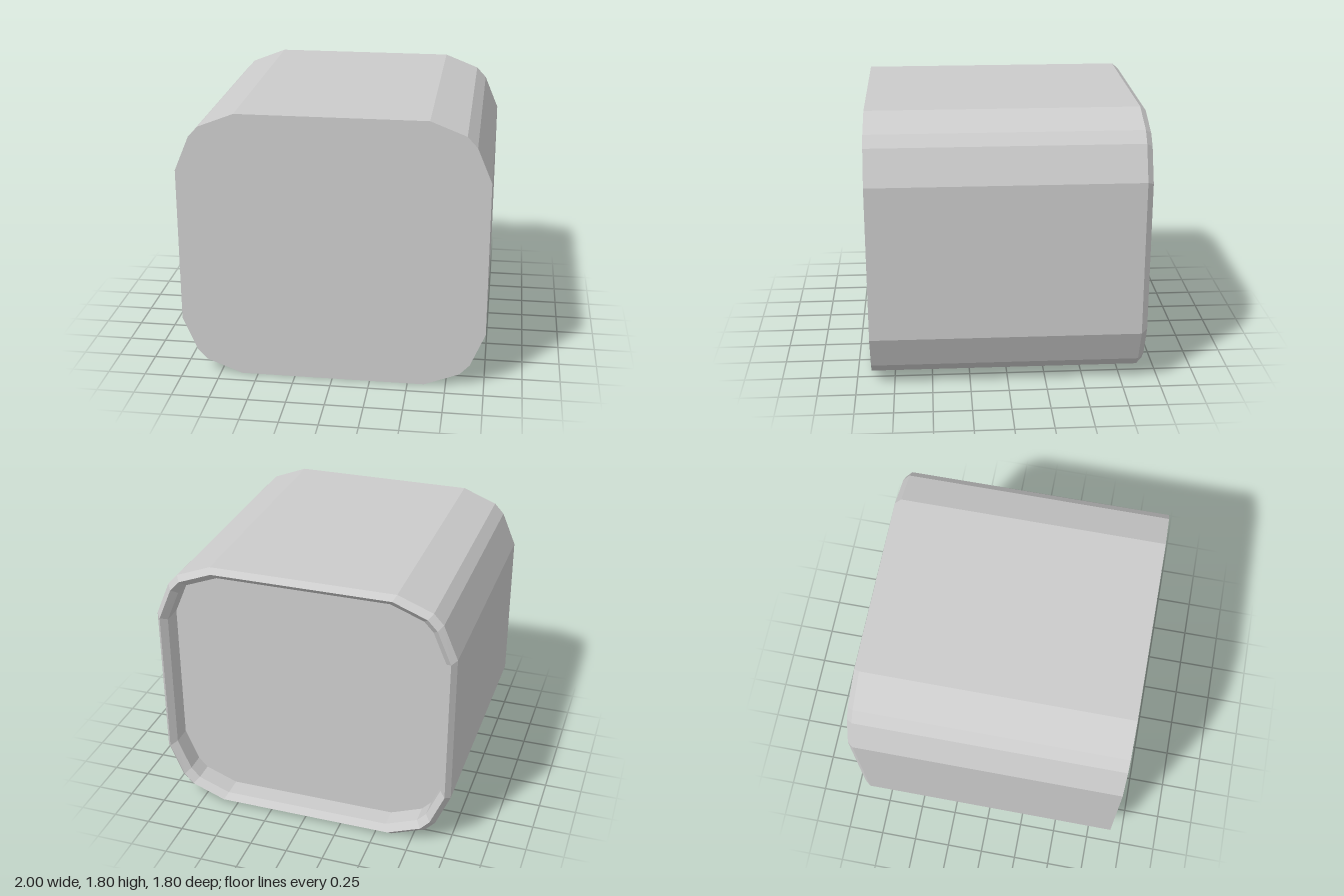
import * as THREE from 'three';

const CENTER_Y = 0.9;

// One quarter of the chamfered outline, measured from its centre
const QUARTER = [[1, 0.515], [0.905, 0.74], [0.84, 0.81], [0.61, 0.9]];

// Full outline, counter-clockwise seen from the front, shrunk evenly by an inset
function outline(inset = 0) {
  const flip = [...QUARTER].reverse();
  const points = [
    ...QUARTER,
    ...flip.map(([x, y]) => [-x, y]),
    ...QUARTER.map(([x, y]) => [-x, -y]),
    ...flip.map(([x, y]) => [x, -y]),
  ];
  return points.map(([x, y]) => new THREE.Vector2(x * (1 - inset), y * (1 - inset / 0.9)));
}

// Flat-shaded band joining two outlines; each section is [inset, z], front to back
function band(front, back) {
  const a = outline(front[0]);
  const b = outline(back[0]);
  const positions = [];
  a.forEach((p, i) => {
    const j = (i + 1) % a.length;
    const p0 = [p.x, p.y, front[1]], p1 = [a[j].x, a[j].y, front[1]];
    const q0 = [b[i].x, b[i].y, back[1]], q1 = [b[j].x, b[j].y, back[1]];
    positions.push(...p0, ...q0, ...q1, ...p0, ...q1, ...p1);
  });
  const geometry = new THREE.BufferGeometry();
  geometry.setAttribute('position', new THREE.Float32BufferAttribute(positions, 3));
  geometry.computeVertexNormals();
  return geometry;
}

// Flat panel filling an outline
function panel(inset, z) {
  return new THREE.ShapeGeometry(new THREE.Shape(outline(inset))).translate(0, 0, z);
}

export function createModel() {
  const group = new THREE.Group();
  group.name = 'hollowBackCasing';
  const material = new THREE.MeshStandardMaterial({
    color: 0xcccccc, flatShading: true, side: THREE.DoubleSide,
  });
  const add = (name, geometry) => {
    const mesh = new THREE.Mesh(geometry, material);
    mesh.name = name;
    mesh.position.y = CENTER_Y;
    group.add(mesh);
  };

  // Closed front and straight sides
  add('frontFace', panel(0, 0.9));
  add('outerShell', band([0, 0.9], [0, -0.86]));

  // Rim around the open back, bevelled outside and inside
  add('outerRimBevel', band([0, -0.86], [0.032, -0.9]));
  add('innerRimBevel', band([0.032, -0.9], [0.07, -0.86]));

  // Shallow recess closed by a panel facing backwards
  add('recessWall', band([0.07, -0.86], [0.07, -0.73]));
  add('backPanel', panel(0.07, -0.73).rotateY(Math.PI).translate(0, 0, -1.46));

  return group;
}
